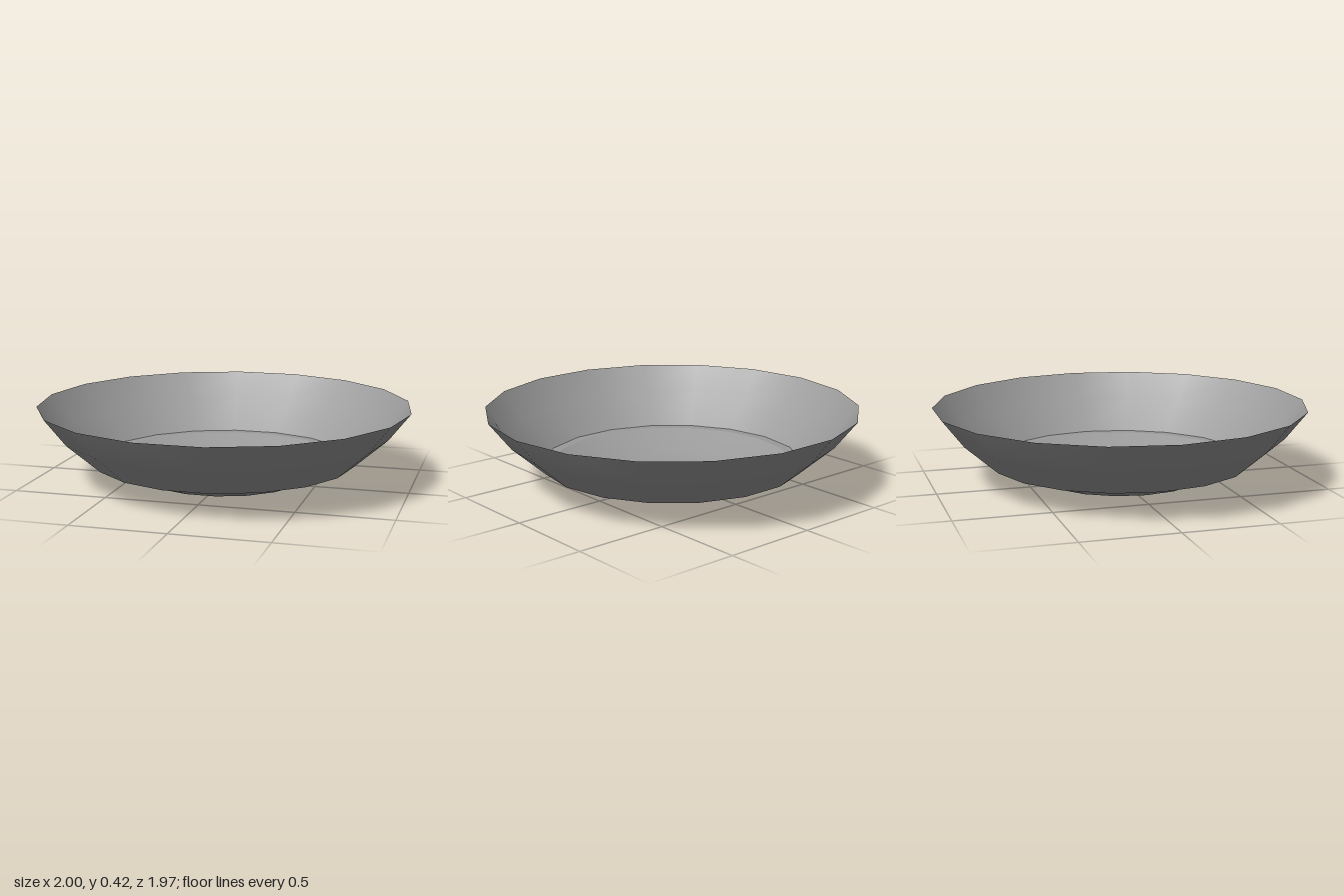
import * as THREE from 'three';

const SIDES = 18;

export function createModel() {
  const group = new THREE.Group();
  group.name = 'bowl';
  const material = new THREE.MeshStandardMaterial({ color: 0x9b9b9b, side: THREE.DoubleSide });

  // Each band is a thin lathe of [radius, height] points, with a corner on the x axis
  function band(name, profile) {
    const points = profile.map(([r, y]) => new THREE.Vector2(r, y));
    const mesh = new THREE.Mesh(new THREE.LatheGeometry(points, SIDES, Math.PI / 2), material);
    mesh.name = name;
    group.add(mesh);
  }

  // Shallow dished base
  band('base', [[0, 0], [0.29, 0], [0.455, 0.036], [0.65, 0.119]]);
  // Flat step between base and wall
  band('step', [[0.65, 0.119], [0.705, 0.119]]);
  // Flaring outer wall up to the open rim
  band('wall', [[0.705, 0.119], [0.885, 0.276], [1, 0.423]]);

  return group;
}
